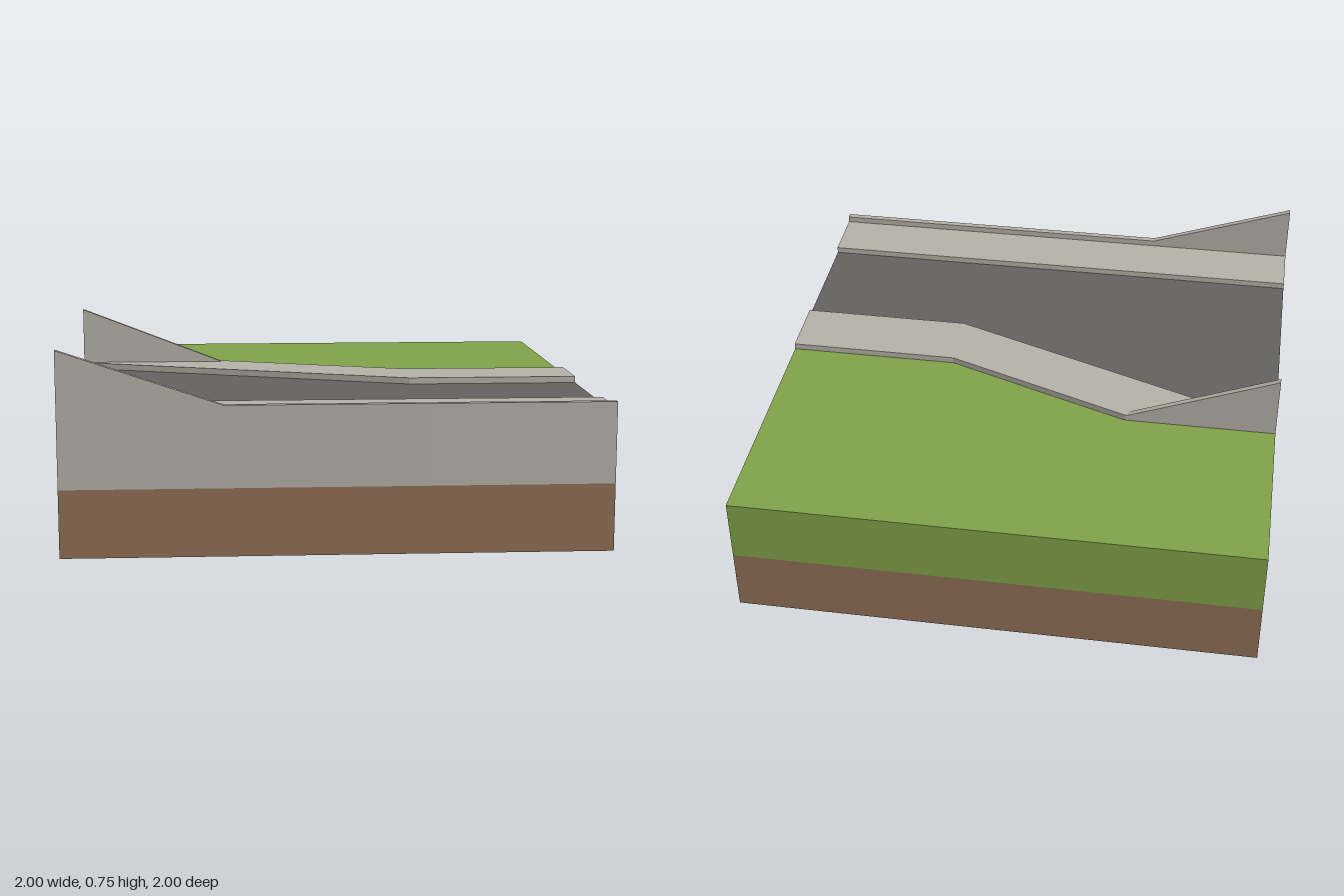
import * as THREE from 'three';

// Shell-like parts are open underneath, so both sides show.
const mat = (name, color) => new THREE.MeshStandardMaterial({ name, color, side: THREE.DoubleSide });

const SOIL_TOP = 0.25, GROUND = 0.5, WALK = 0.525;

// Stations along x: wall top height, inner kerb line and inner path back edge.
const stations = [
  { x: -1, wall: 0.75, kerb: -0.25, back: -0.275 },
  { x: -0.41, wall: 0.55, kerb: -0.028, back: -0.275 },
  { x: 0.33, wall: 0.55, kerb: 0.25, back: 0 },
  { x: 1, wall: 0.55, kerb: 0.25, back: 0 },
];

// Each part is a run of [z, y] points in the cross-section, going front to back.
const sections = {
  frontParapet: s => [[1, SOIL_TOP], [1, s.wall], [0.975, s.wall], [0.975, WALK]],
  frontPavement: () => [[0.975, WALK], [0.75, WALK], [0.75, GROUND]],
  road: s => [[0.75, GROUND], [s.kerb, GROUND]],
  innerPavement: s => [[s.kerb, GROUND], [s.kerb, WALK], [s.back, WALK], [s.back, GROUND]],
  grass: s => [[s.back, GROUND], [-1, GROUND], [-1, SOIL_TOP]],
};

// Flat-shaded geometry from four-cornered faces.
function quads(list) {
  const pos = [];
  for (const [a, b, c, d] of list) pos.push(...a, ...b, ...c, ...a, ...c, ...d);
  const g = new THREE.BufferGeometry();
  g.setAttribute('position', new THREE.Float32BufferAttribute(pos, 3));
  g.computeVertexNormals();
  return g;
}

// Loft a section along x and close its two cut ends down to the soil.
function loft(section) {
  const faces = [];
  const rows = stations.map(s => section(s).map(([z, y]) => [s.x, y, z]));
  const drop = p => [p[0], SOIL_TOP, p[2]];
  for (let i = 0; i < rows.length - 1; i++) {
    for (let j = 0; j < rows[i].length - 1; j++) {
      faces.push([rows[i][j], rows[i + 1][j], rows[i + 1][j + 1], rows[i][j + 1]]);
    }
  }
  for (const row of [rows[0], rows[rows.length - 1]]) {
    for (let j = 0; j < row.length - 1; j++) {
      const a = row[j], b = row[j + 1];
      if (a[2] === b[2]) continue; // vertical step, nothing to close
      const face = [drop(a), drop(b), b, a];
      faces.push(row === rows[0] ? face.reverse() : face);
    }
  }
  return quads(faces);
}

export function createModel() {
  const group = new THREE.Group();
  group.name = 'roadTile';
  const soil = mat('soil', 0x8e6f54);
  const grass = mat('grass', 0x7fa14a);
  const concrete = mat('concrete', 0xb4b0a8);
  const asphalt = mat('asphalt', 0x636261);

  const add = (name, geometry, material) => {
    const mesh = new THREE.Mesh(geometry, material);
    mesh.name = name;
    group.add(mesh);
    return mesh;
  };

  // Open soil skirt around the base
  const skirt = new THREE.CylinderGeometry(Math.SQRT2, Math.SQRT2, SOIL_TOP, 4, 1, true, Math.PI / 4).toNonIndexed();
  skirt.computeVertexNormals();
  add('soilSkirt', skirt, soil).position.y = SOIL_TOP / 2;

  // Ground, road and pavements
  const materials = {
    frontParapet: concrete, frontPavement: concrete, road: asphalt, innerPavement: concrete, grass,
  };
  for (const [name, section] of Object.entries(sections)) add(name, loft(section), materials[name]);

  // Tapered wing wall at the back of the inner pavement
  const wing = new THREE.Shape([
    new THREE.Vector2(-1, GROUND),
    new THREE.Vector2(-0.42, GROUND),
    new THREE.Vector2(-0.42, WALK),
    new THREE.Vector2(-1, 0.75),
  ]);
  add('wingWall', new THREE.ExtrudeGeometry(wing, { depth: 0.023, bevelEnabled: false }), concrete)
    .position.z = -0.275;

  return group;
}
